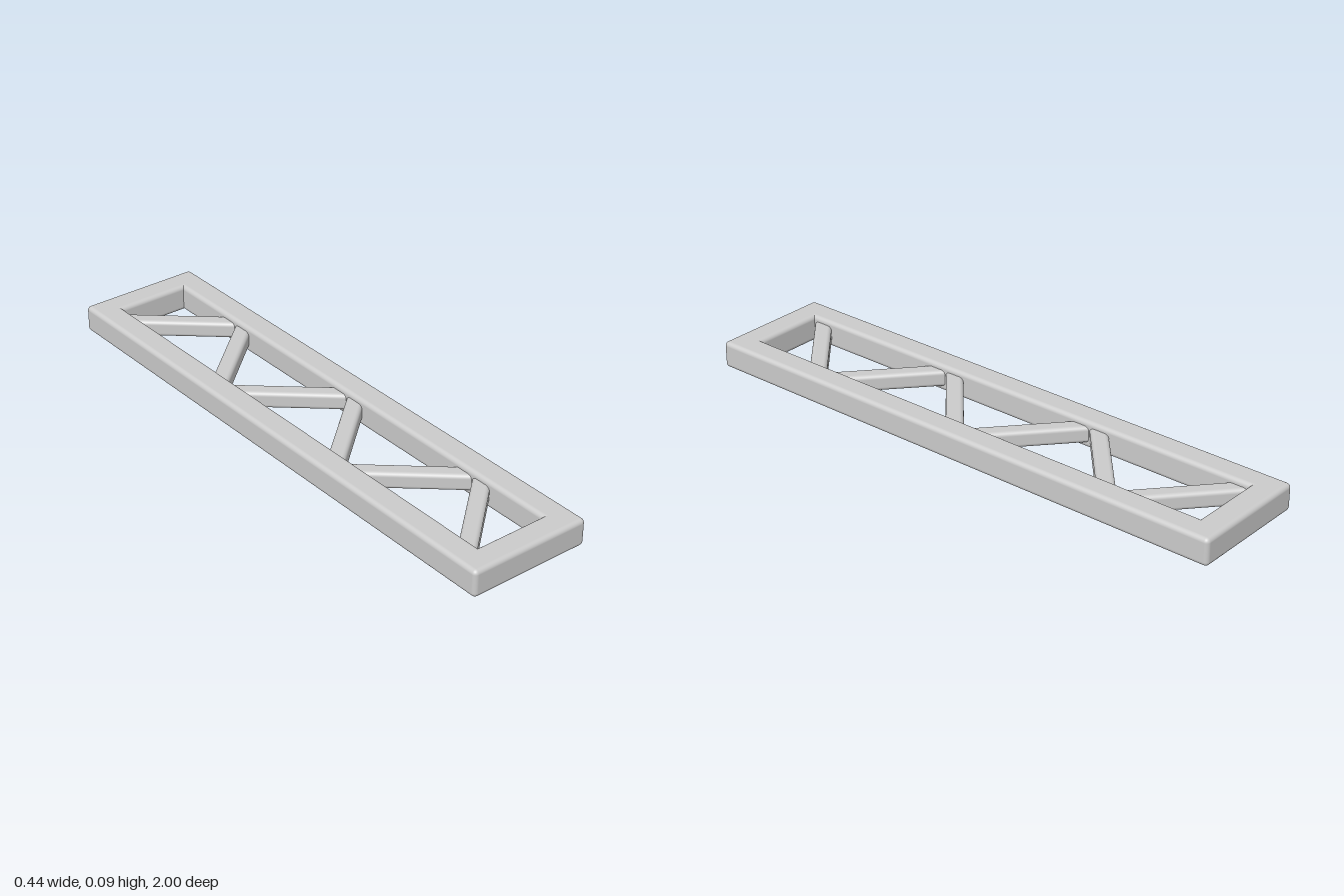
import * as THREE from 'three';
import { RoundedBoxGeometry } from 'three/addons/geometries/RoundedBoxGeometry.js';

export function createModel() {
  const group = new THREE.Group();
  const material = new THREE.MeshStandardMaterial({ color: 0xcccccc });
  const midY = 0.05;

  // A rounded beam lying along z, turned about y
  function beam(name, width, height, length, radius, x, z, angle = 0) {
    const mesh = new THREE.Mesh(new RoundedBoxGeometry(width, height, length, 4, radius), material);
    mesh.name = name;
    mesh.position.set(x, midY, z);
    mesh.rotation.y = angle;
    group.add(mesh);
  }

  // Outer frame: two long rails and two end bars let into them
  const barWidth = 0.092, barHeight = 0.094, round = 0.015;
  const railX = 0.218 - barWidth / 2;
  for (const [side, s] of [['left', 1], ['right', -1]]) {
    beam(side + 'Rail', barWidth, barHeight, 2, round, s * railX, 0);
  }
  for (const [end, s] of [['front', 1], ['back', -1]]) {
    beam(end + 'Bar', barWidth, barHeight, 2 * railX + 0.05, round, 0, s * (1 - barWidth / 2), Math.PI / 2);
    const bar = group.children[group.children.length - 1];
    bar.name = end + 'Bar';
  }

  // Zigzag braces between the rail centre lines
  const count = 6, step = 0.302;
  for (let i = 0; i < count; i++) {
    const dx = (i % 2 === 0 ? 1 : -1) * 2 * railX;
    const z = (i + 0.5 - count / 2) * step;
    beam('brace' + (i + 1), 0.058, 0.058, Math.hypot(dx, step), 0.014, 0, z, Math.atan2(dx, step));
  }
  return group;
}
